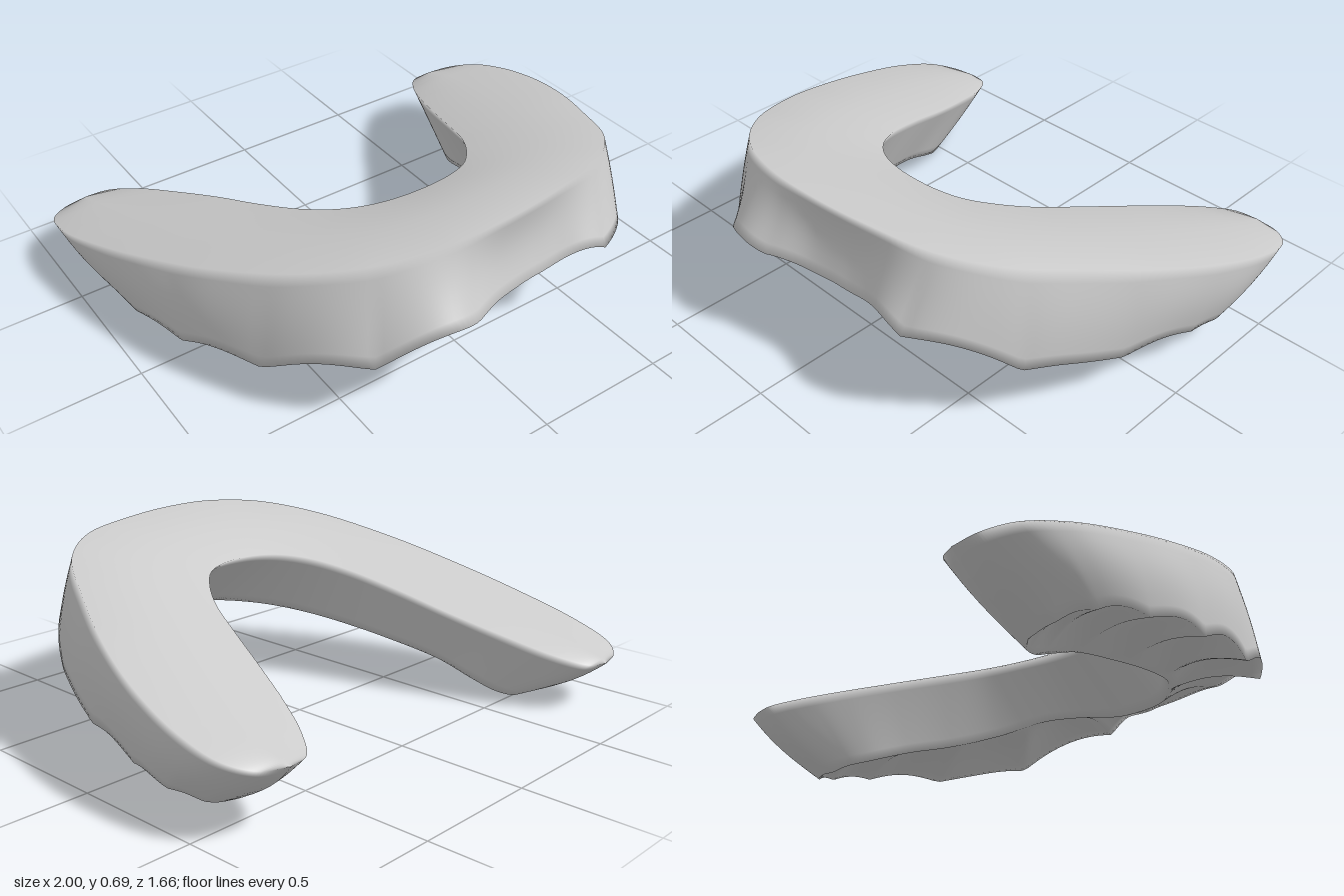
import * as THREE from 'three';
import { mergeVertices } from 'three/addons/utils/BufferGeometryUtils.js';

// Rim of the tilted upper face, from the right tip round the front to the left tip: [x, z]
const outerRim = [[-.8, -.835], [-.9, -.81], [-.975, -.74], [-.995, -.57], [-.95, -.3], [-.88, -.05], [-.785, .2],
  [-.625, .47], [-.44, .635], [-.22, .71], [0, .72], [.25, .69], [.48, .63], [.65, .5], [.785, .26], [.895, .02],
  [.97, -.22], [1, -.46], [.975, -.62], [.9, -.7], [.8, -.725]];
const innerRim = [[-.8, -.835], [-.72, -.815], [-.635, -.71], [-.555, -.53], [-.48, -.33], [-.42, -.13], [-.35, .05],
  [-.27, .17], [-.18, .24], [-.08, .275], [.03, .285], [.13, .275], [.22, .24], [.3, .16], [.37, .05], [.43, -.1],
  [.5, -.29], [.575, -.48], [.645, -.62], [.72, -.71], [.8, -.725]];
// Edges of the biting side: [x, y, z]
const outerBite = [[-.74, .01, -.53], [-.81, .03, -.51], [-.87, .06, -.46], [-.91, .09, -.37], [-.91, .12, -.2],
  [-.88, .15, 0], [-.815, .18, .2], [-.68, .24, .47], [-.49, .33, .7], [-.24, .43, .825], [0, .4, .75], [.24, .41, .73],
  [.45, .42, .75], [.68, .32, .56], [.8, .21, .32], [.89, .18, .04], [.93, .15, -.16], [.94, .12, -.29],
  [.9, .09, -.38], [.84, .06, -.43], [.76, .05, -.45]];
const innerBite = [[-.74, .01, -.53], [-.69, .005, -.5], [-.65, .02, -.44], [-.61, .06, -.36], [-.57, .12, -.22],
  [-.51, .17, -.03], [-.45, .21, .17], [-.37, .245, .34], [-.25, .28, .46], [-.1, .305, .56], [.03, .32, .58],
  [.17, .335, .56], [.3, .35, .46], [.38, .33, .34], [.47, .26, .18], [.53, .19, -.01], [.57, .14, -.18],
  [.61, .09, -.32], [.66, .065, -.4], [.71, .05, -.43], [.76, .05, -.45]];

const spline = pts => new THREE.CatmullRomCurve3(pts.map(p => new THREE.Vector3(...p)));
const onPlane = ([x, z]) => [x, .467 + .311 * z + .022 * x, z];

// Points along each side of a section: upper face, inner wall, biting side, outer wall
const STEPS = 220, SIDES = [2, 8, 10, 8], TEETH = 15;

function guardGeometry() {
  const [oTop, iTop] = [outerRim, innerRim].map(r => spline(r.map(onPlane)));
  const [oBot, iBot] = [outerBite, innerBite].map(spline);
  const pos = [], index = [], ring = SIDES.reduce((a, b) => a + b);

  for (let s = 0; s <= STEPS; s++) {
    const u = s / STEPS;
    const corners = [oTop, iTop, iBot, oBot].map(c => c.getPoint(u));
    const [ot, it, , ob] = corners;
    const out = ot.clone().sub(it);
    const width = out.length();
    out.y = 0;
    if (width > 1e-4) out.normalize();
    const fade = Math.min(1, width / .35);
    const front = Math.exp(-(((u - .51) / .07) ** 2));
    const waist = Math.exp(-(((u - .51) / .11) ** 2));
    // scalloped tooth rhythm, strongest beside the front teeth and dying out at the tips
    const size = fade * (1 - front) * Math.exp(-(((u - .5) / .27) ** 2));
    const tooth = Math.abs(Math.sin(Math.PI * TEETH * u)) * size;
    ob.y += .07 * (tooth - .6 * size);
    ob.addScaledVector(out, .012 * tooth);

    SIDES.forEach((count, side) => {
      const a = corners[side], b = corners[(side + 1) % 4];
      for (let k = 0; k < count; k++) {
        const t = k / count, p = a.clone().lerp(b, t), arch = Math.sin(Math.PI * t);
        if (side === 0) p.y += .008 * arch * fade;                           // nearly flat upper face
        if (side === 2) p.y += arch * (.03 * fade + .04 * tooth);            // tooth impressions
        if (side === 3) p.addScaledVector(out, .015 * arch * fade * (1 - 2.7 * waist)); // outer wall
        if (side % 2) p.z -= .03 * arch * (1 - fade * fade);                 // rounded ends
        pos.push(p.x, p.y, p.z);
      }
    });
  }
  for (let s = 0; s < STEPS; s++) for (let j = 0; j < ring; j++) {
    const a = s * ring + j, b = s * ring + (j + 1) % ring;
    index.push(a, a + ring, b, b, a + ring, b + ring);
  }
  const g = new THREE.BufferGeometry();
  g.setAttribute('position', new THREE.Float32BufferAttribute(pos, 3));
  g.setIndex(index);
  g.computeBoundingBox();
  g.translate(0, -g.boundingBox.min.y, 0);
  const smooth = mergeVertices(g);
  smooth.computeVertexNormals();
  return smooth;
}

export function createModel() {
  const model = new THREE.Group();
  model.name = 'dentalSplint';
  const arch = new THREE.Mesh(guardGeometry(),
    new THREE.MeshStandardMaterial({ color: 0xcccccc, side: THREE.DoubleSide }));
  arch.name = 'archGuard';
  model.add(arch);
  return model;
}
